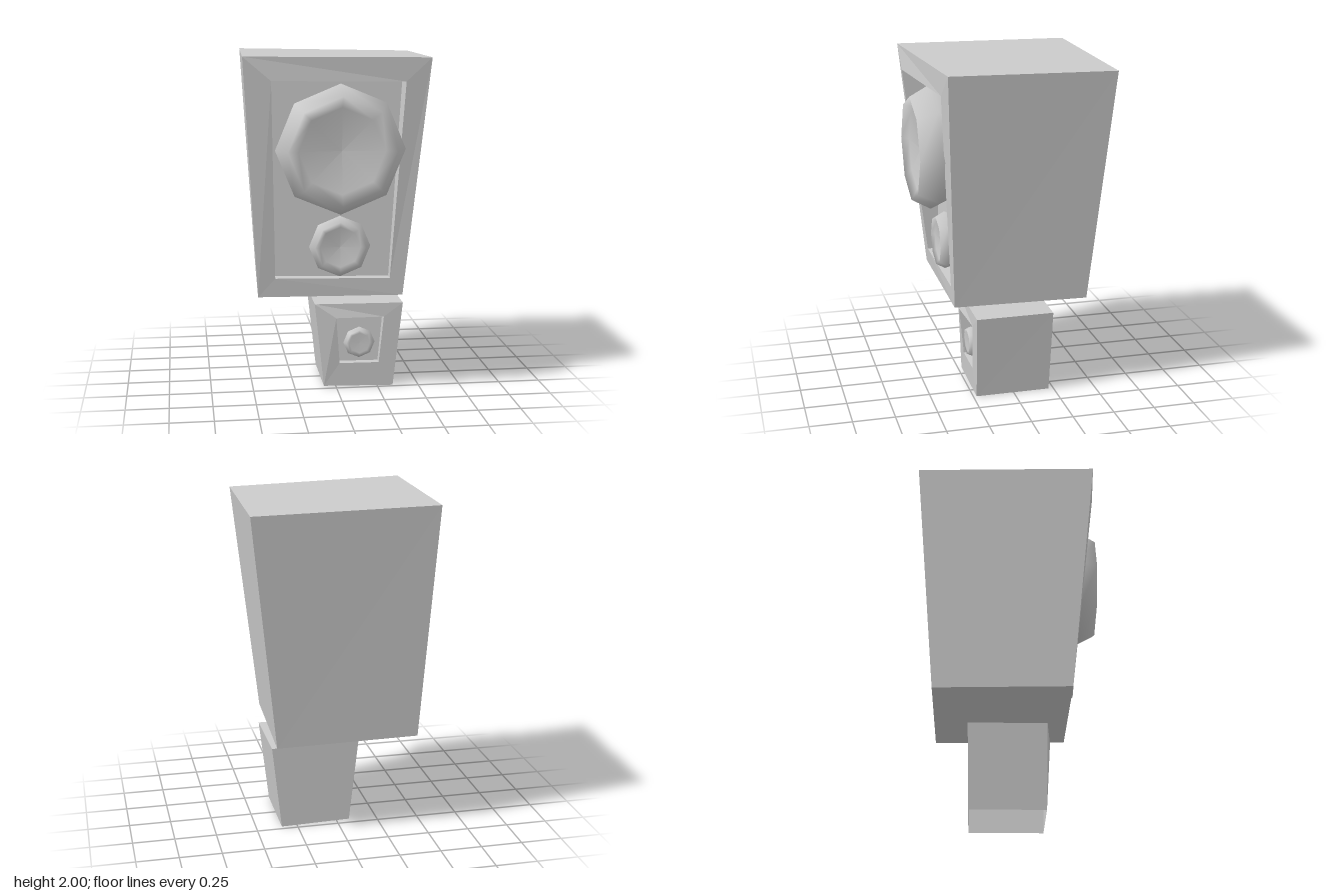
import * as THREE from 'three';

const material = new THREE.MeshStandardMaterial({ color: 0xcccccc, side: THREE.DoubleSide });

// Cabinet from four-corner loops (top left, top right, bottom right, bottom left):
// back, front edge, inner edge of the frame, recessed panel.
function cabinet(name, back, front, inner, panel, hasBottom) {
  const positions = [];
  const quad = (a, b, c, d) => positions.push(...a, ...b, ...c, ...a, ...c, ...d);
  for (let i = 0; i < 4; i++) {
    const j = (i + 1) % 4;
    if (i !== 2 || hasBottom) quad(front[j], back[j], back[i], front[i]);
    quad(front[i], inner[i], inner[j], front[j]);
    quad(inner[i], panel[i], panel[j], inner[j]);
  }
  quad(back[0], back[1], back[2], back[3]);
  quad(panel[0], panel[3], panel[2], panel[1]);
  const geometry = new THREE.BufferGeometry();
  geometry.setAttribute('position', new THREE.Float32BufferAttribute(positions, 3));
  geometry.computeVertexNormals();
  const mesh = new THREE.Mesh(geometry, material);
  mesh.name = name;
  return mesh;
}

// Eight-sided, softly shaded driver: swelling rim around a shallow dish
function driver(name, x, y, radius, zBack, zWide, zFront, dish) {
  const profile = [
    [radius * 0.82, zBack], [radius, zWide], [radius * 0.83, zFront],
    [radius * 0.66, zFront - dish * 0.6], [0, zFront - dish],
  ].map(([r, z]) => new THREE.Vector2(r, z));
  const geometry = new THREE.LatheGeometry(profile, 8);
  geometry.rotateX(Math.PI / 2);
  const mesh = new THREE.Mesh(geometry, material);
  mesh.position.set(x, y, 0);
  mesh.name = name;
  return mesh;
}

export function createModel() {
  const model = new THREE.Group();
  model.name = 'speakers';

  // Large speaker: tapered and skewed, with a twisted front
  const large = new THREE.Group();
  large.name = 'largeSpeaker';
  large.add(
    cabinet('largeCabinet',
      [[-0.52, 2, -0.54], [0.555, 1.98, -0.54], [0.405, 0.595, -0.43], [-0.44, 0.605, -0.43]],
      [[-0.558, 2, 0.51], [0.525, 1.985, 0.42], [0.375, 0.595, 0.365], [-0.475, 0.605, 0.365]],
      [[-0.4, 1.865, 0.512], [0.375, 1.85, 0.43], [0.298, 0.7, 0.37], [-0.375, 0.715, 0.375]],
      [[-0.4, 1.865, 0.29], [0.375, 1.85, 0.29], [0.298, 0.7, 0.31], [-0.375, 0.715, 0.31]],
      true),
    driver('woofer', 0, 1.467, 0.375, 0.28, 0.425, 0.54, 0.06),
    driver('tweeter', 0.005, 0.892, 0.18, 0.28, 0.345, 0.398, 0.03),
  );

  // Small speaker below, open underneath
  const small = new THREE.Group();
  small.name = 'smallSpeaker';
  small.add(
    cabinet('smallCabinet',
      [[-0.13, 0.52, -0.228], [0.4, 0.515, -0.228], [0.345, 0, -0.22], [-0.075, 0.01, -0.22]],
      [[-0.13, 0.52, 0.238], [0.402, 0.515, 0.238], [0.345, 0, 0.23], [-0.075, 0.01, 0.23]],
      [[-0.003, 0.435, 0.257], [0.287, 0.432, 0.24], [0.258, 0.148, 0.235], [0.02, 0.15, 0.235]],
      [[-0.003, 0.435, 0.175], [0.287, 0.432, 0.175], [0.258, 0.148, 0.185], [0.02, 0.15, 0.185]],
      false),
    driver('smallDriver', 0.14, 0.273, 0.095, 0.17, 0.215, 0.243, 0.005),
  );

  model.add(large, small);
  return model;
}
